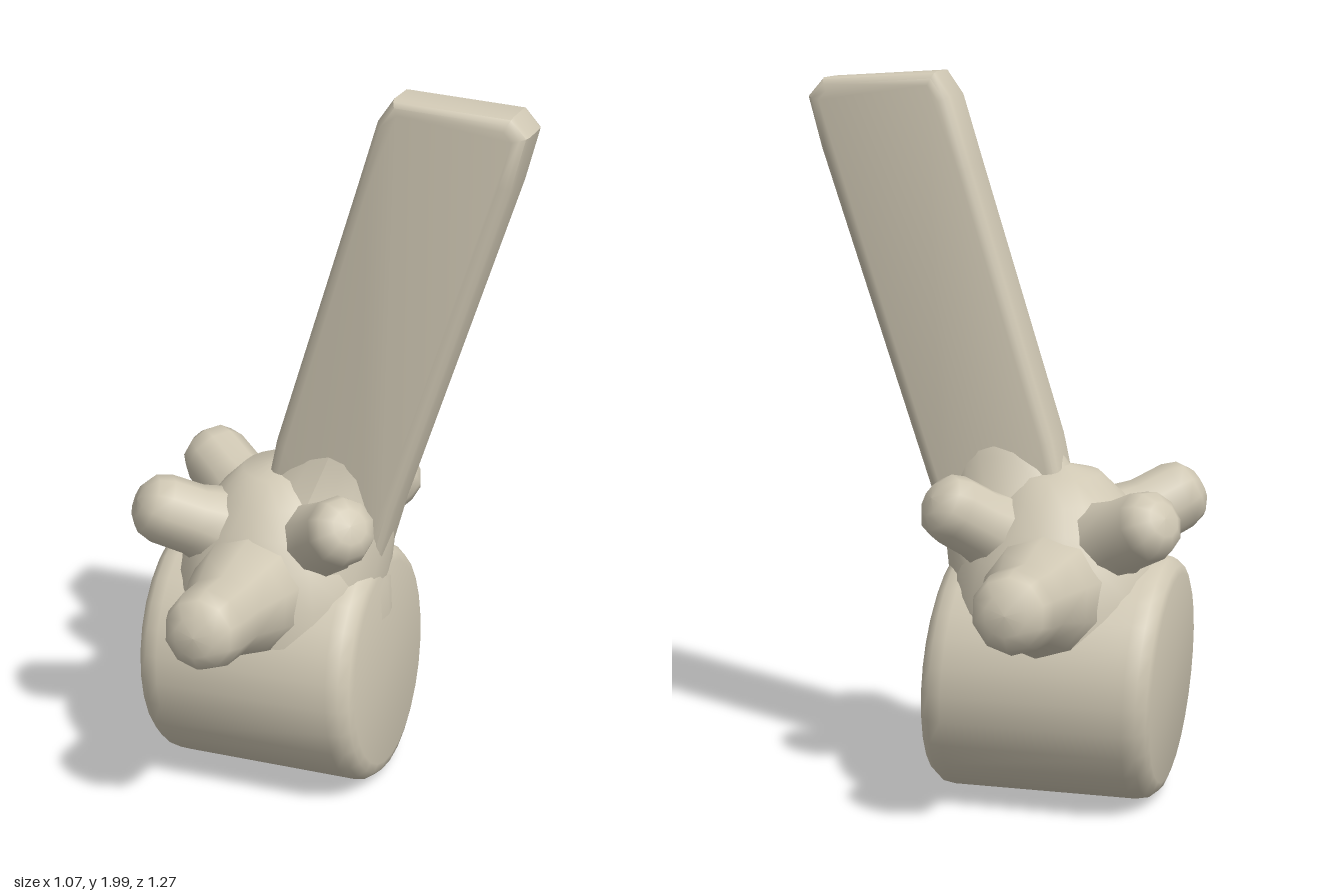
import * as THREE from 'three';
import { toCreasedNormals } from 'three/addons/utils/BufferGeometryUtils.js';

const clay = new THREE.MeshStandardMaterial({ color: 0xd0c8b4 });
clay.name = 'clay';

const lathe = (points, sides) =>
  new THREE.LatheGeometry(points.map(([r, y]) => new THREE.Vector2(r, y)), sides);

function part(name, geometry) {
  const mesh = new THREE.Mesh(geometry, clay);
  mesh.name = name;
  return mesh;
}

// Stubby peg with a flared root and a rounded end, running from one point to another
function peg(name, from, to, r, flare) {
  const a = new THREE.Vector3(...from), b = new THREE.Vector3(...to);
  const dir = b.clone().sub(a);
  const L = dir.length();
  const mesh = part(name, lathe([
    [r * flare, 0], [r * (flare * 0.55 + 0.45), L * 0.3], [r * 1.02, L * 0.55], [r, L - r * 0.75],
    [r * 0.86, L - r * 0.32], [r * 0.5, L - r * 0.05], [0, L],
  ], 10));
  mesh.position.copy(a);
  mesh.quaternion.setFromUnitVectors(new THREE.Vector3(0, 1, 0), dir.normalize());
  return mesh;
}

export function createModel() {
  const group = new THREE.Group();
  group.name = 'peggedDrumWithHandle';

  // Drum lying along x, with softened rims and a slight lean
  const drum = lathe([
    [0, -0.32], [0.29, -0.318], [0.312, -0.31], [0.333, -0.285], [0.34, -0.25],
    [0.342, 0.25], [0.336, 0.285], [0.315, 0.31], [0.29, 0.318], [0, 0.32],
  ], 28);
  drum.rotateZ(-Math.PI / 2);
  const p = drum.attributes.position;
  for (let i = 0; i < p.count; i++) p.setX(i, p.getX(i) - 0.045 * p.getY(i));
  drum.translate(-0.17, 0.348, 0);
  group.add(part('drum', toCreasedNormals(drum, 0.6)));

  // Sloping hub that blends the drum into the handle
  const hub = lathe([
    [0.33, 0.5], [0.325, 0.6], [0.29, 0.7], [0.24, 0.78], [0.185, 0.85], [0.12, 0.91], [0, 0.94],
  ], 20);
  hub.scale(0.95, 1, 1);
  hub.translate(-0.165, 0, 0);
  group.add(part('hub', hub));

  // Flared collar around the foot of the handle
  const collar = lathe([[0.3, 0.62], [0.27, 0.75], [0.215, 0.86], [0.18, 0.96], [0.16, 1.05]], 20);
  const c = collar.attributes.position;
  for (let i = 0; i < c.count; i++) {
    const t = (c.getY(i) - 0.62) / 0.43;
    c.setZ(i, c.getZ(i) * (0.9 - 0.48 * t));
    c.setX(i, c.getX(i) * 0.9 - 0.13 + 0.15 * t);
  }
  collar.computeVertexNormals();
  group.add(part('handleCollar', collar));

  // Leaning slab handle with rounded edges
  const bevel = 0.035;
  const outline = [
    [-0.2, 0.68], [-0.13, 1.0], [0.1, 1.74], [0.155, 1.92], [0.185, 1.963],
    [0.47, 1.945], [0.492, 1.92], [0.46, 1.8], [0.15, 0.86], [0.095, 0.66],
  ].map(([x, y]) => new THREE.Vector2(x, y));
  const handle = new THREE.ExtrudeGeometry(new THREE.Shape(outline), {
    depth: 0.1, bevelSize: bevel, bevelThickness: bevel, bevelSegments: 3,
  });
  handle.translate(0, 0, -0.05);
  group.add(part('handle', toCreasedNormals(handle, 0.7)));

  // Pegs mirrored front and back
  for (const [side, s] of [['front', 1], ['back', -1]]) {
    group.add(peg(side + 'LongPeg', [-0.18, 0.61, s * 0.2], [-0.18, 0.665, s * 0.633], 0.112, 1.6));
    group.add(peg(side + 'RightPeg', [-0.22, 0.69, s * 0.05], [-0.51, 0.85, s * 0.235], 0.098, 1.5));
    group.add(peg(side + 'LeftPeg', [-0.1, 0.69, s * 0.05], [0.125, 0.875, s * 0.26], 0.098, 1.5));
  }
  return group;
}
